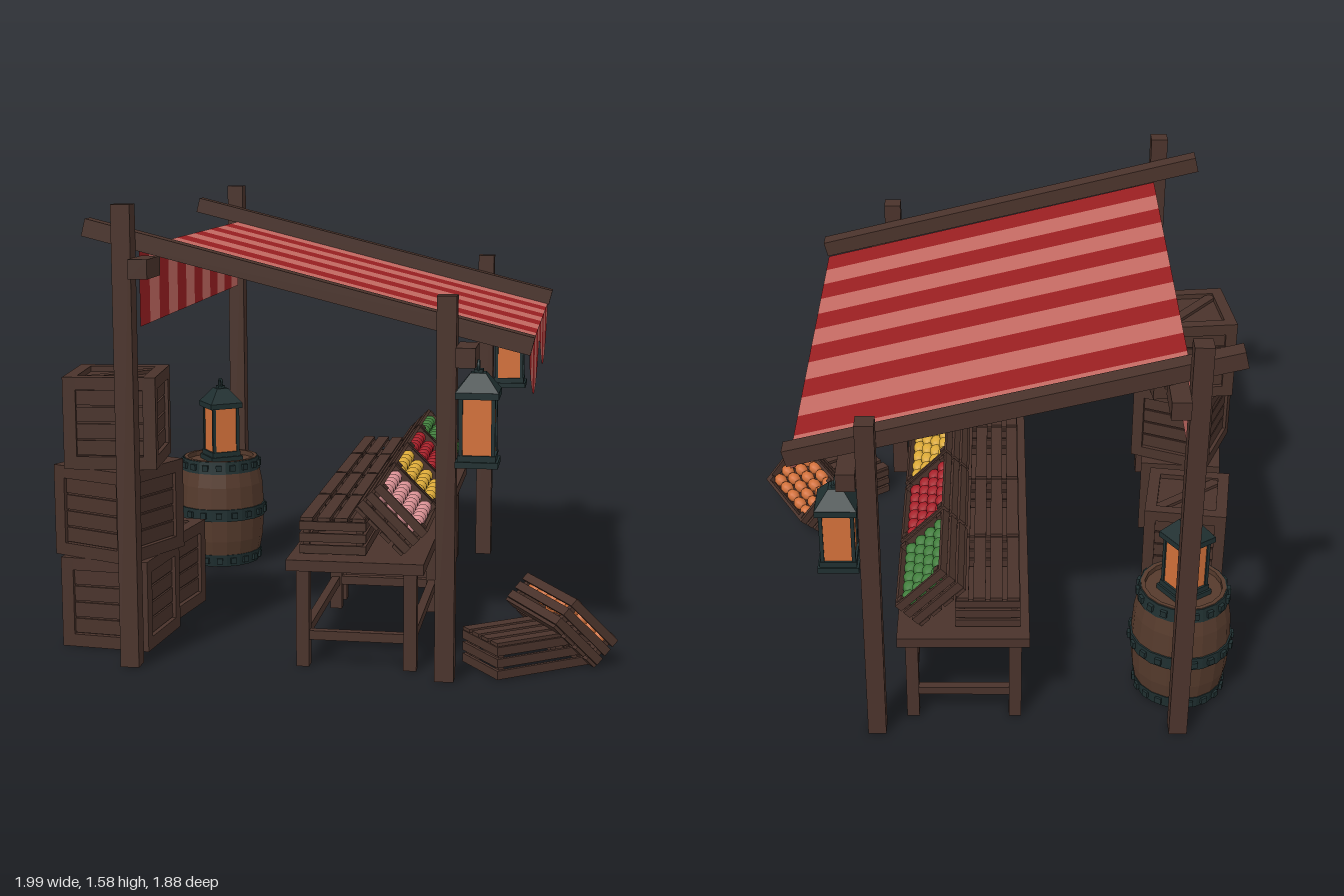
import * as THREE from 'three';

const mat = (name, color, extra = {}) => Object.assign(new THREE.MeshStandardMaterial({ color, ...extra }), { name });
const wood = mat('dark wood', 0x4a332b);
const barrelWood = mat('barrel wood', 0x553a2c);
const stripeRed = mat('red cloth', 0x9a1f21, { side: THREE.DoubleSide });
const stripePale = mat('pale red cloth', 0xc56a63, { side: THREE.DoubleSide });
const iron = mat('dark iron', 0x1f2f30);
const orange = mat('orange', 0xd2703a);
const pink = mat('pink', 0xd88f92);
const yellow = mat('yellow', 0xdba936);
const apple = mat('apple red', 0xa51c26);
const green = mat('green', 0x3f7d3a);

function add(parent, name, geo, material, x = 0, y = 0, z = 0) {
  const m = new THREE.Mesh(geo, material);
  m.name = name;
  m.position.set(x, y, z);
  parent.add(m);
  return m;
}
const box = (parent, name, w, h, d, x, y, z, material = wood) =>
  add(parent, name, new THREE.BoxGeometry(w, h, d), material, x, y, z);
function group(parent, name, x = 0, y = 0, z = 0) {
  const g = new THREE.Group();
  g.name = name;
  g.position.set(x, y, z);
  parent.add(g);
  return g;
}
function flat(geo) {
  const g = geo.toNonIndexed();
  g.computeVertexNormals();
  return g;
}
const lathe = (pts, n) => flat(new THREE.LatheGeometry(pts.map(p => new THREE.Vector2(...p)), n));

// Striped cloth: back flap, sloping roof and scalloped front flap
function canopy(parent) {
  const g = group(parent, 'canopy');
  const n = 12, z0 = -0.775, step = 1.54 / n;
  const section = i => {
    const z = z0 + i * step;
    const hem = 1.05 - 0.15 * Math.abs(Math.sin(i * Math.PI / 6));
    return [[-0.64, 1.16, z], [-0.64, 1.43, z], [0.68, 1.10, z], [0.68, hem, z]];
  };
  for (let i = 0; i < n; i++) {
    const a = section(i), b = section(i + 1), pos = [];
    for (let k = 0; k < 3; k++) pos.push(...a[k], ...b[k], ...b[k + 1], ...a[k], ...b[k + 1], ...a[k + 1]);
    const geo = new THREE.BufferGeometry();
    geo.setAttribute('position', new THREE.Float32BufferAttribute(pos, 3));
    geo.computeVertexNormals();
    add(g, 'clothStripe', geo, i % 2 ? stripeRed : stripePale);
  }
}

// Lantern standing on its own origin, 0.34 high
function lantern(parent, x, y, z, turn = 0) {
  const g = group(parent, 'lantern', x, y, z);
  g.rotation.y = turn;
  box(g, 'lanternBase', 0.14, 0.02, 0.14, 0, 0.01, 0, iron);
  box(g, 'lanternFoot', 0.125, 0.02, 0.125, 0, 0.03, 0, iron);
  box(g, 'lanternGlass', 0.108, 0.2, 0.108, 0, 0.135, 0, orange);
  for (const sx of [-1, 1]) for (const sz of [-1, 1])
    box(g, 'lanternBar', 0.013, 0.2, 0.013, sx * 0.053, 0.135, sz * 0.053, iron);
  box(g, 'lanternBrim', 0.142, 0.022, 0.142, 0, 0.237, 0, iron);
  const roof = flat(new THREE.CylinderGeometry(0.035, 0.1, 0.06, 4));
  add(g, 'lanternRoof', roof, iron, 0, 0.277, 0).rotation.y = Math.PI / 4;
  box(g, 'lanternKnob', 0.03, 0.012, 0.03, 0, 0.312, 0, iron);
  add(g, 'lanternRing', new THREE.TorusGeometry(0.017, 0.005, 6, 12), iron, 0, 0.328, 0).rotation.y = Math.PI / 2;
}

// Open slatted crate, centred, opening upward
const W = 0.23, H = 0.13, L = 0.375, T = 0.012;
function slatCrate(parent, name, x, y, z) {
  const g = group(parent, name, x, y, z);
  g.rotation.order = 'YXZ';
  for (const s of [-1, 1]) {
    for (const t of [-1, 1])
      box(g, 'cratePost', 0.022, H - T, 0.022, s * (W / 2 - 0.022), T / 2, t * (L / 2 - 0.022));
    for (let i = 0; i < 3; i++) {
      const sy = -H / 2 + 0.029 + i * 0.041;
      box(g, 'sideSlat', T, 0.03, L, s * (W - T) / 2, sy, 0);
      box(g, 'endSlat', W - 2 * T, 0.03, T, 0, sy, s * (L - T) / 2);
    }
  }
  for (let i = 0; i < 4; i++)
    box(g, 'bottomSlat', 0.044, T, L, -0.09 + i * 0.06, -(H - T) / 2, 0);
  return g;
}

function produceCrate(parent, x, y, z, cols, material, turn = 0) {
  const g = slatCrate(parent, 'produceCrate', x, y, z);
  g.rotation.set(0, turn, -Math.PI / 4);
  const r = 0.345 / cols / 2;
  const geo = new THREE.SphereGeometry(r, 9, 6);
  for (let i = 0; i < 4; i++) for (let j = 0; j < cols; j++)
    add(g, 'produce', geo, material, (i - 1.5) * 0.05, 0.032, (j - (cols - 1) / 2) * 2 * r)
      .scale.set(0.026 / r, 0.028 / r, 1);
}

// Closed packing box with framed faces and diagonal braces
function packingBox(parent, x, y, z, turn) {
  const s = 0.325, f = 0.045, e = s / 2 - f / 2;
  const g = group(parent, 'packingBox', x, y + s / 2, z);
  g.rotation.y = turn;
  box(g, 'boxCore', s - 0.04, s - 0.04, s - 0.04, 0, 0, 0);
  for (const a of [-1, 1]) {
    for (const b of [-1, 1]) {
      box(g, 'frameUpright', f, s, f, a * e, 0, b * e);
      box(g, 'frameRail', s - 2 * f, f, f, 0, a * e, b * e);
      box(g, 'frameRail', f, f, s - 2 * f, a * e, b * e, 0);
    }
    const brace = box(g, 'diagonalBrace', 0.32, 0.014, 0.04, 0, a * (s / 2 - 0.014), 0);
    brace.rotation.y = Math.PI / 4;
    for (let i = 0; i < 4; i++) {
      const py = (i - 1.5) * 0.059;
      box(g, 'sidePlank', s - 2 * f, 0.052, 0.008, 0, py, a * (s / 2 - 0.017));
      box(g, 'sidePlank', 0.008, 0.052, s - 2 * f, a * (s / 2 - 0.017), py, 0);
    }
  }
}

// Barrel with bulging staves, three hoops and rivets
function barrel(parent, x, z) {
  const g = group(parent, 'barrel', x, 0, z);
  add(g, 'staves', lathe([[0, 0.015], [0.14, 0.015], [0.14, 0], [0.155, 0], [0.176, 0.11], [0.183, 0.225],
    [0.176, 0.34], [0.155, 0.45], [0.14, 0.45], [0.14, 0.43], [0, 0.43]], 18), barrelWood);
  for (const [y, r0, r1] of [[0.002, 0.16, 0.168], [0.2, 0.188, 0.188], [0.398, 0.168, 0.16]]) {
    const h = 0.05, r = (r0 + r1) / 2;
    add(g, 'hoop', lathe([[r0 - 0.016, y], [r0, y], [r1, y + h], [r1 - 0.016, y + h]], 18), iron);
    for (let i = 0; i < 18; i++) {
      const a = (i + 0.5) * Math.PI / 9;
      const rivet = box(g, 'rivet', 0.024, 0.024, 0.016, Math.sin(a) * r, y + h / 2, Math.cos(a) * r, iron);
      rivet.rotation.y = a;
    }
  }
}

function table(parent, z) {
  const g = group(parent, 'table', 0.107, 0, z);
  box(g, 'tableTop', 0.47, 0.038, 0.845, 0, 0.366, 0);
  for (const s of [-1, 1]) {
    for (const t of [-1, 1]) box(g, 'tableLeg', 0.045, 0.347, 0.045, s * 0.185, 0.1735, t * 0.36);
    box(g, 'longStretcher', 0.03, 0.032, 0.675, s * 0.185, 0.11, 0);
    box(g, 'crossStretcher', 0.325, 0.032, 0.03, 0, 0.11, s * 0.36);
  }
}

export function createModel() {
  const model = new THREE.Group();
  model.name = 'marketStall';

  // Frame: posts, sloping side beams, brackets and hanging lanterns
  for (const s of [-1, 1]) {
    box(model, 'backPost', 0.065, 1.58, 0.065, -0.663, 0.79, s * 0.872);
    box(model, 'frontPost', 0.065, 1.294, 0.065, 0.418, 0.647, s * 0.872);
    box(model, 'roofBeam', 1.549, 0.06, 0.065, -0.059, 1.313, s * 0.807).rotation.z = -0.244;
    box(model, 'backBracket', 0.065, 0.065, 0.167, -0.598, 1.37, s * 0.857);
    box(model, 'frontBracket', 0.065, 0.065, 0.167, 0.483, 1.098, s * 0.857);
    lantern(model, 0.521, 0.737, s * 0.87);
    table(model, s * 0.4235);
  }
  canopy(model);

  // Produce display propped on upturned crates
  [[0.58, 6, pink], [0.19, 5, yellow], [-0.202, 6, apple], [-0.595, 6, green]].forEach(([z, cols, m]) => {
    slatCrate(model, 'supportCrate', 0.02, 0.451, z).rotation.z = Math.PI;
    produceCrate(model, 0.222, 0.517, z, cols, m);
  });

  // Crates on the ground in front
  slatCrate(model, 'groundCrate', 0.68, 0.065, 0.665).rotation.set(0, -0.95, Math.PI);
  produceCrate(model, 0.793, 0.128, 0.537, 5, orange, 0.51);

  // Stacked packing boxes
  packingBox(model, -0.785, 0, 0.185, -0.15);
  packingBox(model, -0.79, 0, 0.55, -0.1);
  packingBox(model, -0.787, 0.325, 0.563, -0.4);
  packingBox(model, -0.79, 0.65, 0.55, 0.1);

  // Barrel with a lantern on its lid
  barrel(model, -0.687, -0.607);
  lantern(model, -0.687, 0.43, -0.622, 0.6);
  return model;
}
